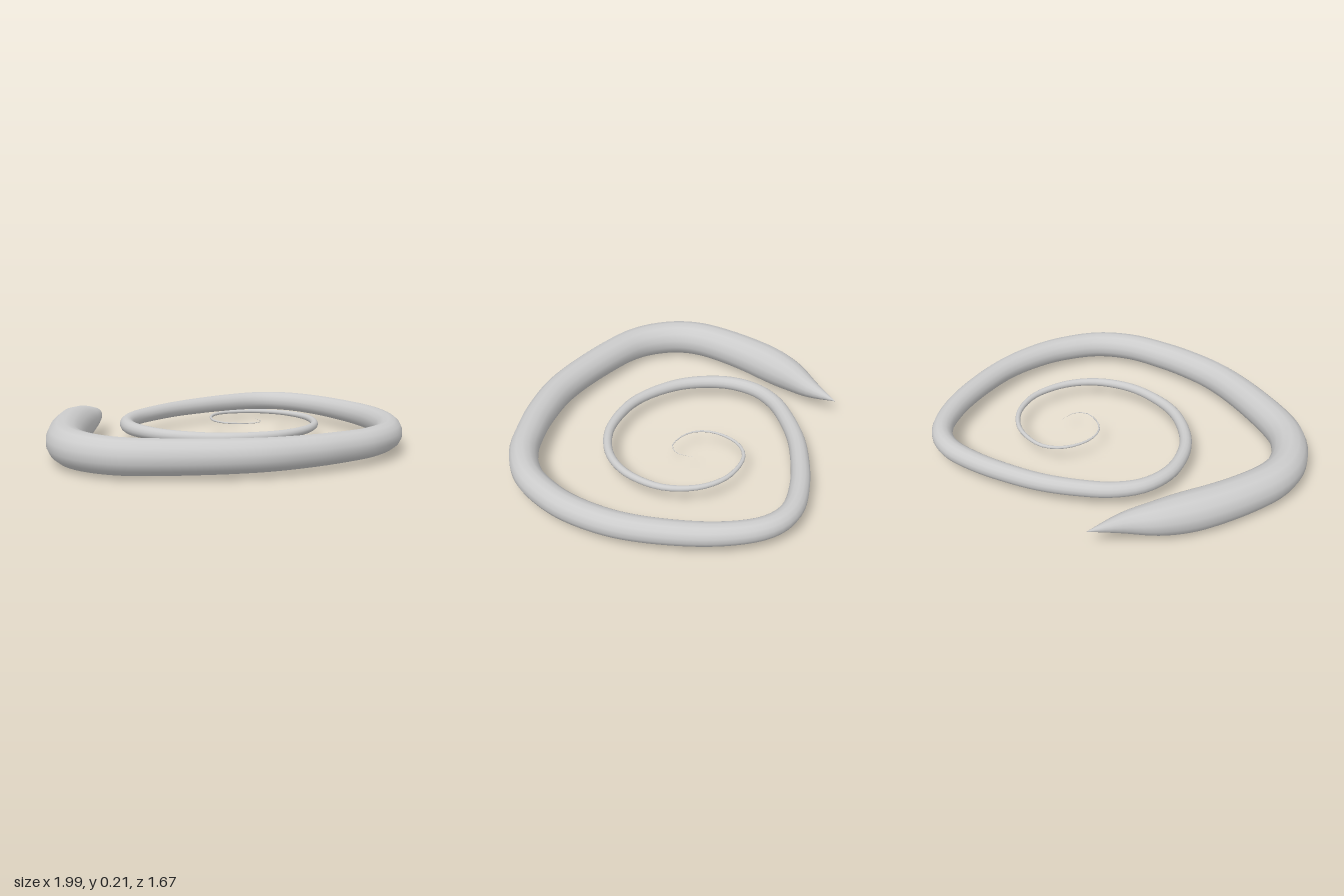
import * as THREE from 'three';

// Centre line [x, z], from the thick pointed tip inwards to the fine end
const PATH = [
  [-0.335, -0.84], [-0.445, -0.69], [-0.57, -0.56], [-0.70, -0.39], [-0.82, -0.18],
  [-0.89, 0.0], [-0.90, 0.13], [-0.86, 0.27], [-0.76, 0.41], [-0.49, 0.58],
  [-0.18, 0.71], [0.06, 0.75], [0.22, 0.755], [0.44, 0.735], [0.63, 0.65],
  [0.77, 0.50], [0.85, 0.36], [0.917, 0.14], [0.93, -0.10], [0.90, -0.36],
  [0.83, -0.55], [0.75, -0.64], [0.64, -0.69], [0.46, -0.705], [0.27, -0.69],
  [0.08, -0.655], [-0.10, -0.59], [-0.26, -0.505], [-0.37, -0.39], [-0.42, -0.24],
  [-0.41, -0.10], [-0.36, 0.04], [-0.26, 0.17], [-0.13, 0.27], [0.03, 0.325],
  [0.19, 0.34], [0.375, 0.29], [0.51, 0.18], [0.59, 0.02], [0.60, -0.09],
  [0.56, -0.23], [0.455, -0.345], [0.28, -0.40], [0.18, -0.365], [0.11, -0.28],
  [0.083, -0.18], [0.104, -0.10], [0.165, -0.045], [0.25, -0.018], [0.308, -0.056],
  [0.325, -0.145],
];
const HEIGHT = 0.105, SEGMENTS = 200, SIDES = 14;

// Steady taper along the spiral, with a short pointed nose at the thick end
function radiusAt(u) {
  const nose = Math.sin(Math.min(1, u / 0.068) * Math.PI / 2);
  return 0.1128 * (1 - u) * nose;
}

function taperedTube(curve) {
  const geo = new THREE.TubeGeometry(curve, SEGMENTS, 1, SIDES, false);
  const pos = geo.attributes.position;
  const v = new THREE.Vector3();
  for (let i = 0; i <= SEGMENTS; i++) {
    const u = i / SEGMENTS;
    const centre = curve.getPointAt(u);
    const r = Math.max(radiusAt(u), 0.0005);
    for (let j = 0; j <= SIDES; j++) {
      const k = i * (SIDES + 1) + j;
      v.fromBufferAttribute(pos, k).sub(centre).multiplyScalar(r).add(centre);
      pos.setXYZ(k, v.x, v.y, v.z);
    }
  }
  return geo;
}

export function createModel() {
  const group = new THREE.Group();
  group.name = 'spiral';
  const curve = new THREE.CatmullRomCurve3(
    PATH.map(([x, z]) => new THREE.Vector3(x, HEIGHT, z)), false, 'centripetal');
  curve.arcLengthDivisions = 1000;
  const material = new THREE.MeshStandardMaterial({ color: 0xcccccc, side: THREE.DoubleSide });
  const tendril = new THREE.Mesh(taperedTube(curve), material);
  tendril.name = 'spiralTendril';
  group.add(tendril);
  return group;
}
